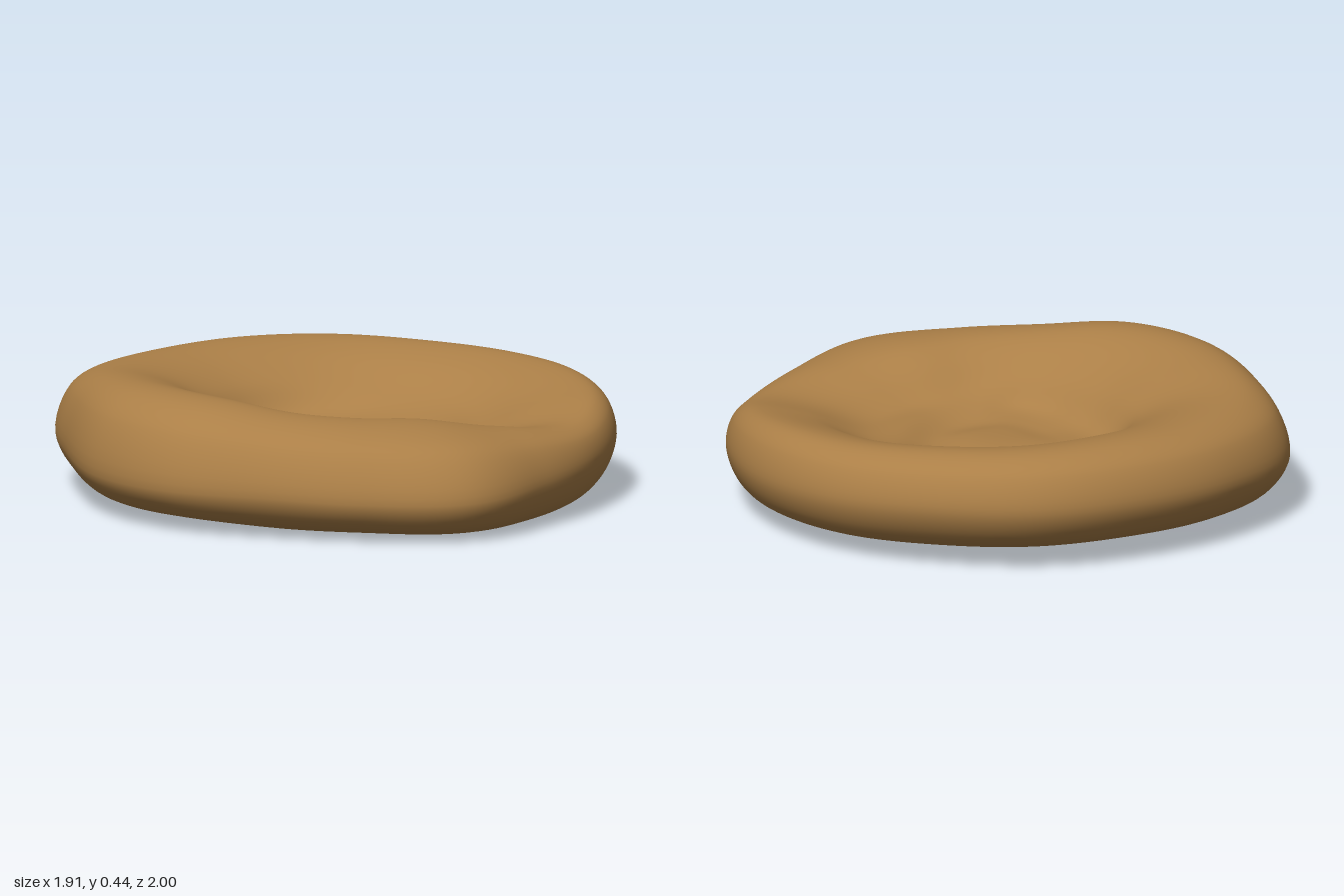
import * as THREE from 'three';
import { mergeVertices } from 'three/addons/utils/BufferGeometryUtils.js';

// Values at 16 even angles, starting at +x and turning towards +z
const outline = [0.95, 0.925, 0.9, 0.915, 0.995, 0.925, 0.895, 0.945, 0.96, 0.965, 1.035, 1.02, 1.0, 0.995, 0.965, 0.965];
const crestR = [0.81, 0.81, 0.77, 0.66, 0.58, 0.58, 0.6, 0.65, 0.7, 0.75, 0.8, 0.8, 0.8, 0.8, 0.78, 0.8];
const crestY = [0.38, 0.35, 0.305, 0.335, 0.375, 0.388, 0.405, 0.438, 0.445, 0.435, 0.415, 0.41, 0.415, 0.41, 0.4, 0.39];
const footR = [0.36, 0.32, 0.3, 0.28, 0.27, 0.28, 0.31, 0.31, 0.31, 0.34, 0.4, 0.42, 0.42, 0.4, 0.38, 0.37];
const bellyY = [0.21, 0.21, 0.19, 0.17, 0.15, 0.15, 0.16, 0.16, 0.16, 0.18, 0.2, 0.22, 0.23, 0.23, 0.23, 0.22];
const baseY = [0.035, 0.03, 0.02, 0.01, 0.01, 0.01, 0.01, 0.015, 0.015, 0.015, 0.025, 0.04, 0.05, 0.05, 0.045, 0.04];
// How far out the underside reaches, as a share of the outline
const skirt = [0.86, 0.88, 0.91, 0.91, 0.89, 0.85, 0.83, 0.81, 0.81, 0.82, 0.83, 0.84, 0.84, 0.84, 0.84, 0.85];
// How sharply the inner wall drops: 0 is an even ramp, 1 is steep at the foot
const steep = [0.1, 0, 0, 0, 0.1, 0.3, 0.7, 0.7, 0.7, 0.9, 1, 1, 0.9, 0.6, 0.3, 0.2];

// Smooth periodic interpolation around the ring
function around(keys, t) {
  const n = keys.length, i = Math.floor(t * n), f = t * n - i;
  const k = (j) => keys[(i + j + n) % n];
  const a = k(-1), b = k(0), c = k(1), d = k(2);
  return b + 0.5 * f * (c - a + f * (2 * a - 5 * b + 4 * c - d + f * (3 * (b - c) + d - a)));
}

// Cross-section from the middle of the underside, round the rim, to the middle of the hollow
function section(t) {
  const [R, cr, cy, foot, belly, base, reach, drop] =
    [outline, crestR, crestY, footR, bellyY, baseY, skirt, steep].map((keys) => around(keys, t));
  const floor = 0.2, wall = cy - floor, span = cr - foot;
  return new THREE.CatmullRomCurve3([
    [0, 0.02], [0.35, 0.02], [0.65 * R, base], [reach * R, base + 0.02],
    [(0.35 * reach + 0.65) * R, base + (belly - base) * 0.4], [R, belly],
    [R - (R - cr) * 0.2, belly + (cy - belly) * 0.66],
    [R - (R - cr) * 0.55, belly + (cy - belly) * 0.93], [cr, cy],
    [cr - span * 0.35, cy - wall * (0.22 - 0.1 * drop)],
    [cr - span * 0.72, cy - wall * (0.69 - 0.24 * drop)],
    [foot, floor + 0.03 - 0.015 * drop], [foot * 0.65, floor], [foot * 0.3, floor + 0.005], [0, floor + 0.005],
  ].map(([r, y]) => new THREE.Vector3(r, y, 0)));
}

function cushionGeometry(segments = 144, rows = 84) {
  const positions = [], index = [];
  for (let i = 0; i < segments; i++) {
    const t = i / segments, angle = t * Math.PI * 2, curve = section(t);
    for (let j = 0; j <= rows; j++) {
      const p = curve.getPoint(j / rows);
      const r = j === 0 || j === rows ? 0 : p.x;
      const x = r * Math.cos(angle), z = r * Math.sin(angle);
      // Faint lumps in the hollow, and a shallow groove across the underside
      const lumps = j / rows > 0.7 ? Math.exp(-Math.pow(r / 0.35, 4)) * Math.sin(x * 14 + 1) * Math.cos(z * 12) : 0;
      const groove = j / rows < 0.3 ? Math.exp(-Math.pow((z - 0.3) / 0.12, 2) - Math.pow(r / 0.75, 8)) : 0;
      positions.push(x, p.y + 0.006 * lumps + 0.02 * groove, z);
      if (j < rows) {
        const a = i * (rows + 1) + j, b = ((i + 1) % segments) * (rows + 1) + j;
        // The first and last rows are fans around the two middle points
        if (j > 0) index.push(a, a + 1, b);
        if (j < rows - 1) index.push(b, a + 1, b + 1);
      }
    }
  }
  let geometry = new THREE.BufferGeometry();
  geometry.setAttribute('position', new THREE.Float32BufferAttribute(positions, 3));
  geometry.setIndex(index);
  geometry = mergeVertices(geometry, 1e-5);
  geometry.computeVertexNormals();
  // Centre it and stand it on the ground
  geometry.computeBoundingBox();
  const box = geometry.boundingBox, c = box.getCenter(new THREE.Vector3());
  geometry.translate(-c.x, -box.min.y, -c.z);
  return geometry;
}

export function createModel() {
  const tan = new THREE.MeshStandardMaterial({ color: 0xab7f47 });
  tan.name = 'tan';
  const body = new THREE.Mesh(cushionGeometry(), tan);
  body.name = 'hollowedCushion';
  const group = new THREE.Group();
  group.name = 'softRoundBed';
  group.add(body);
  return group;
}
